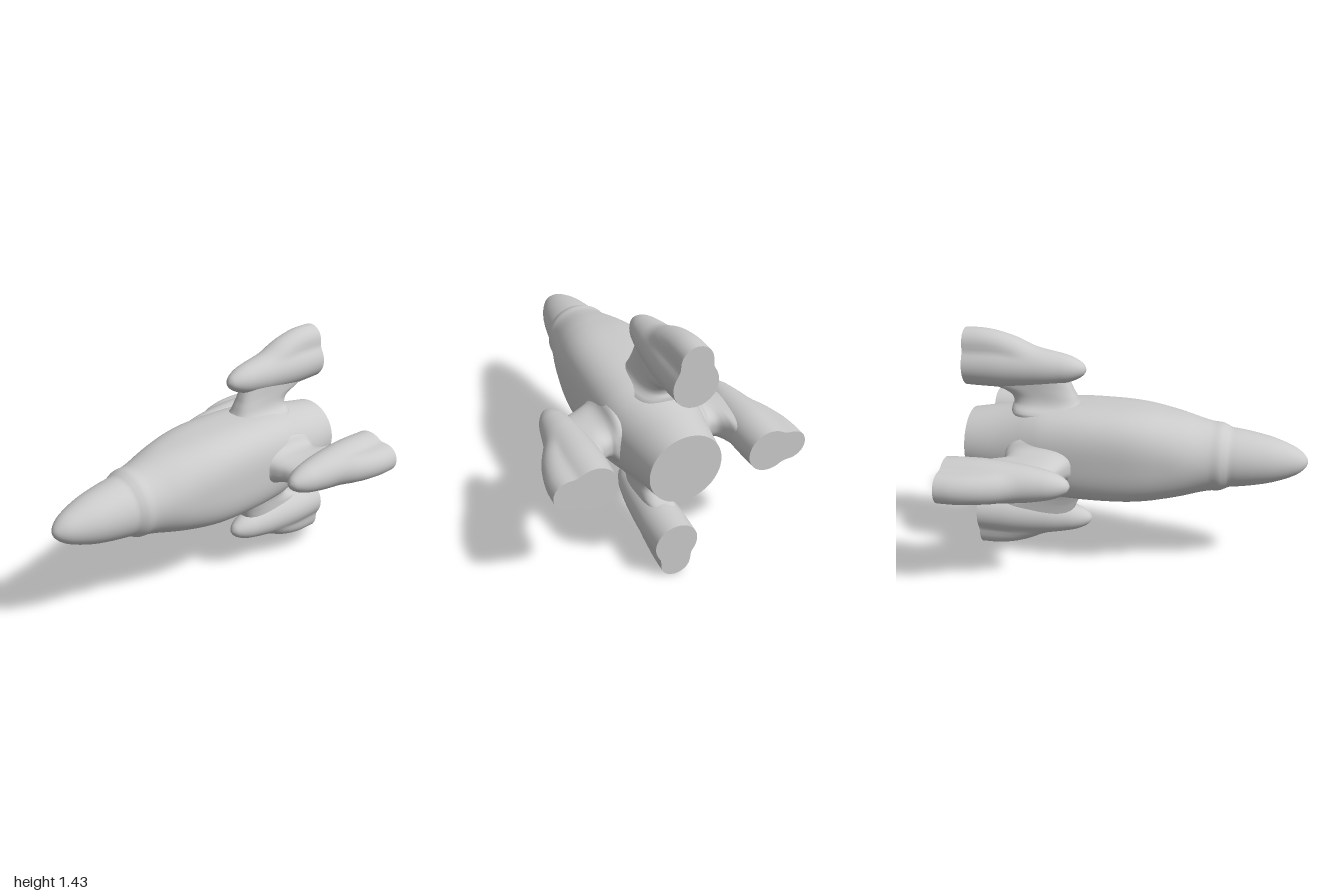
import * as THREE from 'three';

const material = new THREE.MeshStandardMaterial({ color: 0xcccccc });
const CENTRE_Y = 0.715;

// Smoothly resample a table of stations [position, a, b]
function resample(rows, count) {
  const curve = new THREE.CatmullRomCurve3(rows.map(([z, a, b]) => new THREE.Vector3(z, a, b)));
  return curve.getPoints(count);
}

// Skin closed rings along z; outline(station, angle) gives [x, y]; the first ring gets a flat cap
function loft(stations, sides, outline) {
  const pos = [], index = [];
  for (const s of stations) {
    for (let j = 0; j < sides; j++) {
      const [x, y] = outline(s, (j / sides) * Math.PI * 2);
      pos.push(x, y, s.x);
    }
  }
  for (let i = 0; i < stations.length - 1; i++) {
    for (let j = 0; j < sides; j++) {
      const a = i * sides + j, b = i * sides + ((j + 1) % sides);
      index.push(a, b, b + sides, a, b + sides, a + sides);
    }
  }
  const capStart = pos.length / 3;
  pos.push(...pos.slice(0, sides * 3));
  pos.push(0, 0, stations[0].x);
  for (let j = 0; j < sides; j++) {
    index.push(capStart + sides, capStart + ((j + 1) % sides), capStart + j);
  }
  const geo = new THREE.BufferGeometry();
  geo.setAttribute('position', new THREE.Float32BufferAttribute(pos, 3));
  geo.setIndex(index);
  geo.computeVertexNormals();
  return geo;
}

// Point on a superellipse, n = 2 is a plain ellipse
function superellipse(rx, ry, n, angle) {
  const c = Math.cos(angle), s = Math.sin(angle);
  const k = Math.pow(Math.abs(c) ** n + Math.abs(s) ** n, -1 / n);
  return [rx * c * k, ry * s * k];
}

function named(geometry, name) {
  const mesh = new THREE.Mesh(geometry, material);
  mesh.name = name;
  return mesh;
}

// Hull: round at both ends, squarish amidships. Stations: z, radius, exponent
function hullGeometry() {
  const rows = [
    [-1, 0.203, 2], [-0.9, 0.22, 2], [-0.8, 0.237, 2.05], [-0.7, 0.256, 2.2], [-0.6, 0.273, 2.5],
    [-0.5, 0.283, 2.75], [-0.3, 0.29, 2.9], [-0.1, 0.288, 2.9], [0.05, 0.28, 2.7], [0.2, 0.259, 2.4],
    [0.3, 0.24, 2.15], [0.4, 0.215, 2], [0.45, 0.204, 2], [0.5, 0.2, 2], [0.53, 0.188, 2],
    [0.555, 0.176, 2], [0.6, 0.17, 2], [0.7, 0.154, 2], [0.8, 0.131, 2], [0.9, 0.095, 2],
    [0.95, 0.068, 2], [0.985, 0.036, 2], [0.997, 0.015, 2], [1, 0, 2],
  ];
  return loft(resample(rows, 110), 64, (s, t) => superellipse(s.y, s.y, s.z, t));
}

// Pod: a round engine merged with an outer lobe. Stations: z, pod radius, outward reach
function podGeometry() {
  const rows = [
    [-1, 0.122, 0.218], [-0.9, 0.125, 0.218], [-0.8, 0.126, 0.203], [-0.7, 0.121, 0.172],
    [-0.6, 0.112, 0.125], [-0.53, 0.104, 0.096], [-0.45, 0.09, 0.075], [-0.4, 0.079, 0.06],
    [-0.35, 0.06, 0.045], [-0.31, 0.035, 0.025], [-0.296, 0.016, 0.012], [-0.29, 0, 0],
  ];
  return loft(resample(rows, 60), 56, (s, t) => {
    const b = Math.min(0.087, 0.72 * s.y), d = Math.max(0, s.z - b);
    const c = Math.cos(t), sn = Math.sin(t);
    // Distance to a capsule running outward along +y
    let lobe = b;
    if (sn > 0) {
      const side = b / Math.max(1e-6, Math.abs(c));
      lobe = side * sn <= d ? side : d * sn + Math.sqrt(Math.max(0, b * b - d * d * c * c));
    }
    // Soft maximum fillets the two shapes together
    const k = 0.015, diff = lobe - s.y;
    const soft = 0.5 * (lobe + s.y + Math.sqrt(diff * diff + k * k * Math.min(1, s.y / 0.1))) ;
    const rho = s.y > 0 ? soft - 0.001 * Math.min(1, s.y / 0.1) : 0;
    return [rho * c, rho * sn];
  });
}

// Pylon from hull to pod. Stations: radial distance, front z, rear z
function pylonGeometry() {
  const rows = [
    [0.2, -0.3, -0.74], [0.265, -0.315, -0.735], [0.29, -0.335, -0.725], [0.33, -0.355, -0.74],
    [0.36, -0.37, -0.79], [0.385, -0.38, -0.86], [0.43, -0.4, -0.92], [0.49, -0.43, -0.95],
  ];
  const geo = loft(resample(rows, 30), 48, (s, t) => {
    const flare = 0.07 * Math.exp(-Math.max(0, s.x - 0.25) / 0.03);
    const [x, y] = superellipse(0.084 + flare, (s.y - s.z) / 2, 2.8, t);
    return [x, y - (s.y + s.z) / 2];
  });
  return geo.rotateX(-Math.PI / 2);
}

export function createModel() {
  const model = new THREE.Group();
  model.name = 'rocketShip';

  const hull = named(hullGeometry(), 'hull');
  hull.position.y = CENTRE_Y;
  model.add(hull);

  // Four identical fins, each set slightly to one side of its radial line
  const podGeo = podGeometry(), pylonGeo = pylonGeometry();
  ['topFin', 'rightFin', 'bottomFin', 'leftFin'].forEach((name, i) => {
    const fin = new THREE.Group();
    fin.name = name;
    const pylon = named(pylonGeo, 'pylon');
    pylon.position.x = -0.019;
    const pod = named(podGeo, 'enginePod');
    pod.position.set(-0.03, 0.495, 0);
    fin.add(pylon, pod);
    fin.position.y = CENTRE_Y;
    fin.rotation.z = (i * Math.PI) / 2;
    model.add(fin);
  });
  return model;
}
